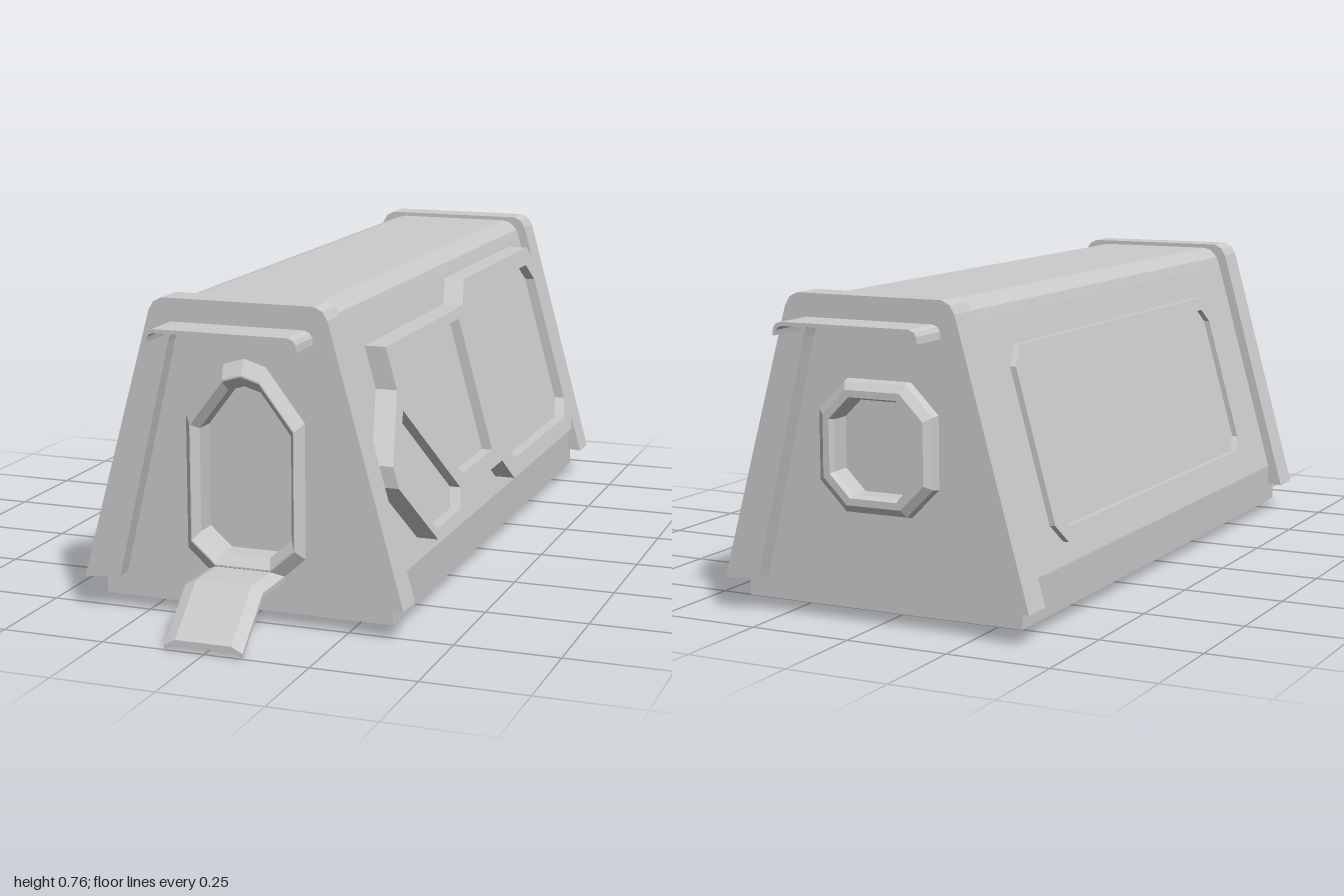
import * as THREE from 'three';

const material = new THREE.MeshStandardMaterial({ color: 0xcccccc, flatShading: true, side: THREE.DoubleSide });

// Half outline on the +x side, mirrored to a full one (counter-clockwise)
const mirror = (half) => [...half, ...half.filter(([x]) => x !== 0).map(([x, y]) => [-x, y]).reverse()];
const toPoints = (list) => list.map(([x, y]) => new THREE.Vector2(x, y));

// Half width of the sloping side wall at height y
const wallX = (y) => 0.358 - 0.278 * (y - 0.13);

function addMesh(parent, name, geometry) {
  const mesh = new THREE.Mesh(geometry, material);
  mesh.name = name;
  parent.add(mesh);
  return mesh;
}

// Flat outline with holes, extruded from z0 to z1
function slab(outline, z0, z1, holes = []) {
  const shape = new THREE.Shape(toPoints(outline));
  holes.forEach((h) => shape.holes.push(new THREE.Path(toPoints(h))));
  return new THREE.ExtrudeGeometry(shape, { depth: z1 - z0, bevelEnabled: false }).translate(0, 0, z0);
}

// Skin over a row of equal closed rings, with a cap on the last ring
function loft(rings) {
  const n = rings[0].length;
  const index = [];
  for (let r = 0; r < rings.length - 1; r++) {
    for (let i = 0; i < n; i++) {
      const a = r * n + i, b = r * n + (i + 1) % n;
      index.push(a, b, a + n, b, b + n, a + n);
    }
  }
  const last = (rings.length - 1) * n;
  const cap = THREE.ShapeUtils.triangulateShape(toPoints(rings[rings.length - 1]), []);
  cap.forEach((t) => index.push(...t.map((i) => last + i)));
  const geometry = new THREE.BufferGeometry();
  geometry.setAttribute('position', new THREE.Float32BufferAttribute(rings.flat(2), 3));
  geometry.setIndex(index);
  const flat = geometry.toNonIndexed();
  flat.computeVertexNormals();
  return flat;
}

const scaled = (outline, s, cy) => outline.map(([x, y]) => [x * s, cy + (y - cy) * s]);

// Raised rim around an opening, with a recessed floor; stages are [scale, z]
const rimmedOpening = (outline, cy, stages) =>
  loft(stages.map(([s, z]) => scaled(outline, s, cy).map(([x, y]) => [x, y, z])));

// Plate leaning on the sloping +x wall; its outline is given in (z, y)
function wallPlate(outline, d0, d1, holes = []) {
  const turn = (list) => list.map(([z, y]) => [-z, y]);
  const geometry = slab(turn(outline), d0, d1, holes.map(turn)).rotateY(Math.PI / 2);
  const pos = geometry.attributes.position;
  for (let i = 0; i < pos.count; i++) pos.setX(i, pos.getX(i) + wallX(pos.getY(i)));
  geometry.computeVertexNormals();
  return geometry;
}

// Rectangle with cut corners
const cutRect = (x0, x1, y0, y1, c) => [
  [x0 + c, y0], [x1 - c, y0], [x1, y0 + c], [x1, y1 - c],
  [x1 - c, y1], [x0 + c, y1], [x0, y1 - c], [x0, y0 + c],
];

export function createModel() {
  const root = new THREE.Group();
  root.name = 'shelter';
  const model = new THREE.Group();
  model.name = 'shelterParts';
  model.position.x = -0.002;
  root.add(model);

  const section = mirror([[0.358, 0.03], [0.358, 0.13], [0.2, 0.698], [0.192, 0.722], [0.172, 0.742], [0.15, 0.747]]);
  const door = mirror([[0.06, 0.158], [0.113, 0.205], [0.113, 0.45], [0.04, 0.545], [0, 0.557]]);
  const hatch = cutRect(-0.108, 0.108, 0.3, 0.52, 0.05);

  // Hull, with end walls cut for the openings
  addMesh(model, 'hull', slab(section, -0.8, 0.69));
  addMesh(model, 'frontWall', slab(section, 0.69, 0.75, [scaled(door, 1.08, 0.345)]));
  addMesh(model, 'backWall', slab(section, -0.85, -0.8, [scaled(hatch, 1.08, 0.41)]));

  // Doorway and rear hatch
  addMesh(model, 'doorway', rimmedOpening(door, 0.345,
    [[1.3, 0.75], [1.14, 0.773], [1.12, 0.773], [1, 0.75], [1, 0.695]]));
  addMesh(model, 'rearHatch', rimmedOpening(hatch, 0.41,
    [[1.4, 0.85], [1.36, 0.87], [1.2, 0.885], [1.05, 0.885], [1, 0.87], [1, 0.82]])).rotation.y = Math.PI;

  // Arched end frames
  const arch = [
    ...mirror([[0.397, 0.077], [0.217, 0.727], [0.205, 0.747], [0.185, 0.757]]),
    ...mirror([[0.305, 0.087], [0.17, 0.655], [0.163, 0.677], [0.148, 0.687]]).reverse(),
  ];
  addMesh(model, 'frontFrame', slab(arch, 0.71, 0.79));
  addMesh(model, 'backFrame', slab(arch, -0.895, -0.815));

  // Canopies over both ends
  const canopy = [
    ...mirror([[0.183, 0.672], [0.181, 0.688], [0.175, 0.698], [0.162, 0.703]]),
    ...mirror([[0.177, 0.672], [0.174, 0.684], [0.168, 0.691], [0.158, 0.694]]).reverse(),
  ];
  addMesh(model, 'frontCanopy', slab(canopy, 0.75, 0.89));
  addMesh(model, 'backCanopy', slab(canopy, -1, -0.85));

  // Bent entry ramp with turned-down sides
  const rampSection = [
    [-0.095, -0.026], [-0.068, -0.013], [0.068, -0.013], [0.095, -0.026],
    [0.095, -0.014], [0.068, 0], [-0.068, 0], [-0.095, -0.014],
  ];
  const rampPath = [[0.72, 0.131], [0.88, 0.131], [1, 0.026]];
  addMesh(model, 'entryRamp', loft(rampPath.map(([z, y]) => rampSection.map(([x, dy]) => [x, y + dy, z]))));

  // Thick armour panel with three sunken bays on the +x wall
  const panel = [
    [0.555, 0.63], [-0.04, 0.63], [-0.1, 0.688], [-0.7, 0.688], [-0.76, 0.63], [-0.76, 0.23],
    [-0.7, 0.17], [-0.1, 0.17], [-0.04, 0.23], [0.27, 0.23], [0.32, 0.178], [0.54, 0.178],
    [0.697, 0.335], [0.697, 0.385], [0.555, 0.53],
  ];
  const bays = [
    cutRect(-0.7, -0.1, 0.212, 0.645, 0.047),
    [[0.515, 0.605], [0.015, 0.605], [0.015, 0.27], [0.27, 0.27], [0.515, 0.51]],
    [[0.55, 0.482], [0.31, 0.245], [0.345, 0.2], [0.53, 0.2], [0.672, 0.34], [0.672, 0.37]],
  ];
  addMesh(model, 'armourPanel', wallPlate(panel, -0.005, 0.052, bays));
  bays.forEach((bay, i) => addMesh(model, 'bayFloor' + (i + 1), wallPlate(bay, -0.005, 0.025)));

  // Shallow framed panel on the -x wall
  const border = cutRect(-0.54, 0.66, 0.18, 0.63, 0.045);
  const opening = cutRect(-0.505, 0.625, 0.212, 0.598, 0.035);
  const sidePanel = addMesh(model, 'sidePanel', wallPlate(border, -0.005, 0.015, [opening]));
  sidePanel.rotation.y = Math.PI;

  return root;
}
